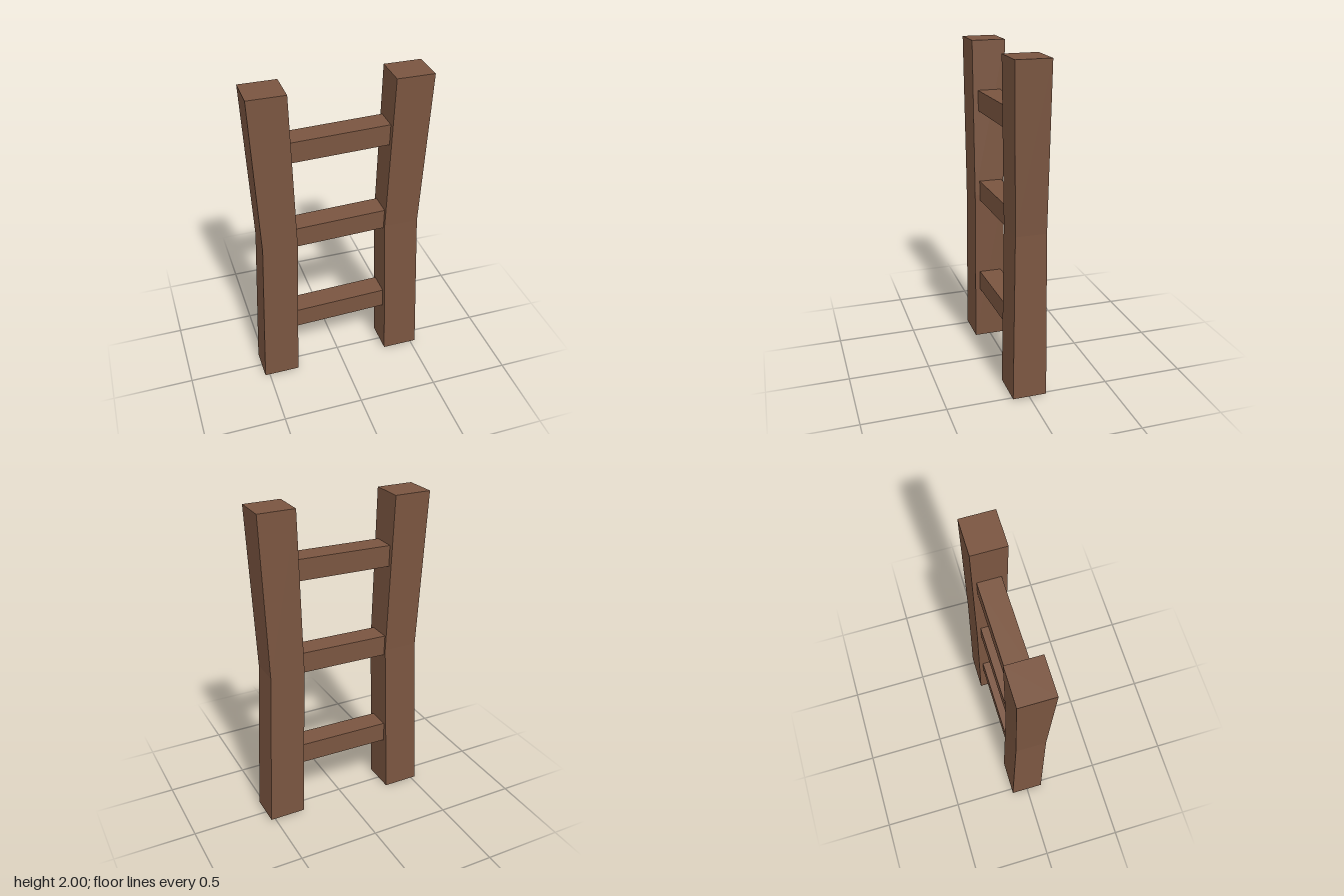
import * as THREE from 'three';

export function createModel() {
  const group = new THREE.Group();
  const wood = new THREE.MeshStandardMaterial({ color: 0x7a5540 });

  // Rail cross-sections: height, then x and z ranges; the waist bends inward
  function railGeometry(bottom, top) {
    const sections = [
      { y: bottom, x: [-0.53, -0.305], z: [-0.105, 0.102] },
      { y: 1.02, x: [-0.491, -0.278], z: [-0.084, 0.102] },
      { y: top, x: [-0.53, -0.305], z: [-0.105, 0.102] },
    ];
    const geo = new THREE.BoxGeometry(2, 2, 2, 1, 2, 1);
    const p = geo.attributes.position;
    for (let i = 0; i < p.count; i++) {
      const s = sections[Math.round(p.getY(i)) + 1];
      p.setXYZ(i, s.x[p.getX(i) > 0 ? 1 : 0], s.y, s.z[p.getZ(i) > 0 ? 1 : 0]);
    }
    const flat = geo.toNonIndexed();
    flat.computeVertexNormals();
    return flat;
  }

  // Two rails, the left one turned half way round
  const rightRail = new THREE.Mesh(railGeometry(0, 1.994), wood);
  rightRail.name = 'rightRail';
  const leftRail = new THREE.Mesh(railGeometry(0.01, 2), wood);
  leftRail.name = 'leftRail';
  leftRail.rotation.y = Math.PI;
  group.add(rightRail, leftRail);

  // Slightly tilted rungs, ends sunk into the rails
  [[0.42, 0.3], [1.054, 0.29], [1.634, 0.3]].forEach(([y, half], i) => {
    const rung = new THREE.Mesh(new THREE.BoxGeometry(half * 2, 0.128, 0.141), wood);
    rung.name = 'rung' + (i + 1);
    rung.position.set(0, y, -0.003);
    rung.rotation.set(0, 0.011, 0.022);
    group.add(rung);
  });

  return group;
}
